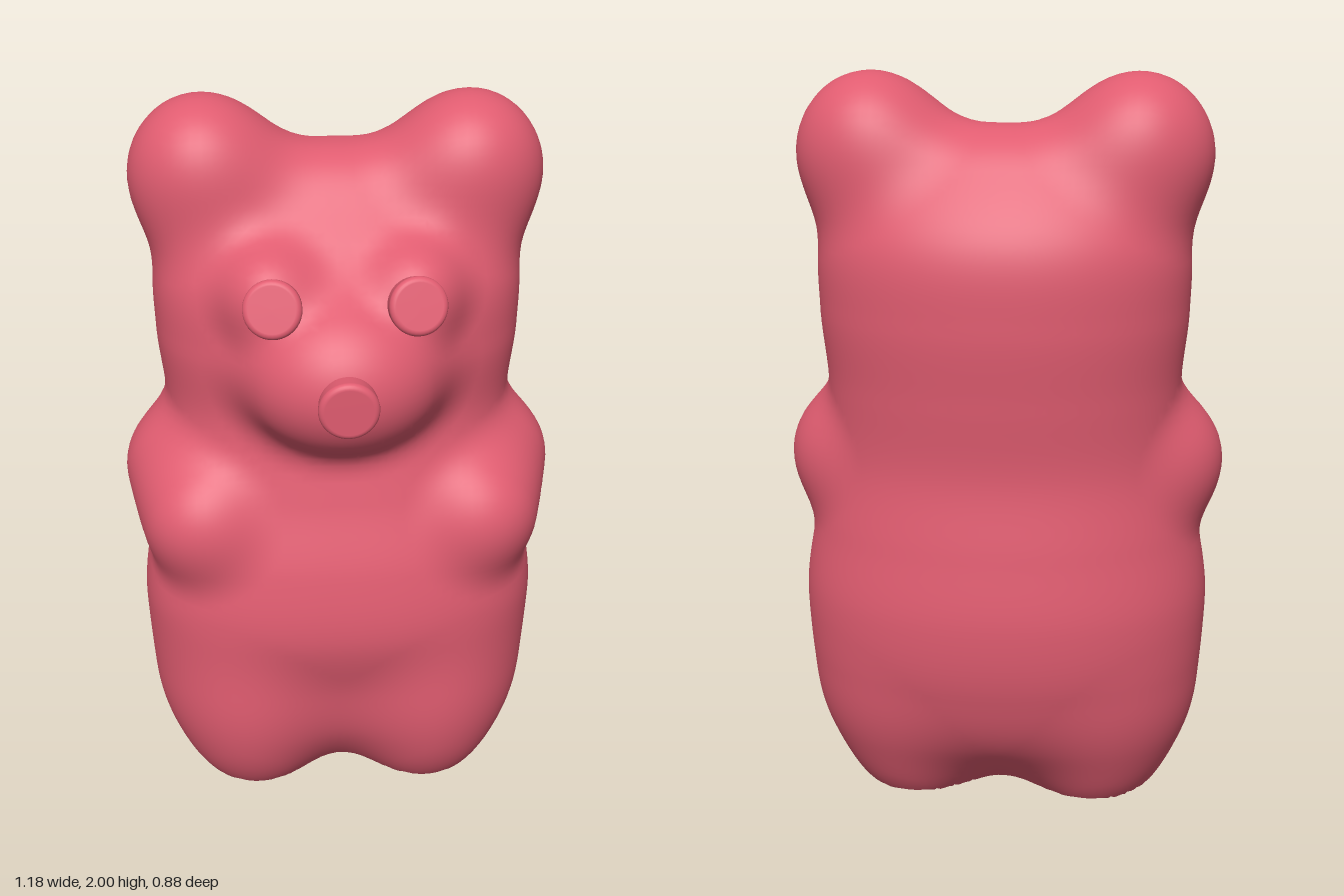
import * as THREE from 'three';

const candy = new THREE.MeshStandardMaterial({ color: 0xe05c70 });
candy.name = 'candyRed';

// Torso and head profile, one row per 0.2 of height: half width, front z, back z
const profile = new THREE.CatmullRomCurve3([
  [0.30, 0.08, -0.12], [0.48, 0.22, -0.33], [0.54, 0.28, -0.415], [0.56, 0.33, -0.44],
  [0.53, 0.31, -0.42], [0.49, 0.25, -0.395], [0.47, 0.21, -0.41], [0.485, 0.22, -0.425],
  [0.475, 0.19, -0.405], [0.38, 0.04, -0.28], [0.10, -0.08, -0.13],
].map((r) => new THREE.Vector3(...r)), false, 'catmullrom', 0.5);

const row = new THREE.Vector3();

// Soft union of two distances, k is the width of the blend
function blend(a, b, k) {
  const h = Math.max(k - Math.abs(a - b), 0) / k;
  return Math.min(a, b) - h * h * k / 4;
}
const softCut = (a, b, k) => -blend(-a, -b, k);

function ellipsoid(x, y, z, rx, ry, rz) {
  const k0 = Math.hypot(x / rx, y / ry, z / rz);
  const k1 = Math.hypot(x / rx ** 2, y / ry ** 2, z / rz ** 2);
  return k1 < 1e-6 ? -Math.min(rx, ry, rz) : k0 * (k0 - 1) / k1;
}

// Distance to a rounded limb from a to b
function limb(x, y, z, a, b, r) {
  const d = b.map((v, i) => v - a[i]);
  const p = [x - a[0], y - a[1], z - a[2]];
  const dot = (u, v) => u[0] * v[0] + u[1] * v[1] + u[2] * v[2];
  const t = THREE.MathUtils.clamp(dot(p, d) / dot(d, d), 0, 1);
  return Math.hypot(p[0] - d[0] * t, p[1] - d[1] * t, p[2] - d[2] * t) - r;
}

function torso(x, y, z) {
  profile.getPoint(THREE.MathUtils.clamp(y / 2, 0, 1), row);
  const mid = (row.y + row.z) / 2, depth = (row.y - row.z) / 2;
  const n = z > mid ? 2.5 : 2.1;
  const q = (Math.abs(x) / row.x) ** n + (Math.abs(z - mid) / depth) ** n;
  const side = (q ** (1 / n) - 1) * Math.min(row.x, depth);
  return softCut(softCut(side, y - 1.872, 0.1), 0.02 - y, 0.06);
}

// The whole soft body; mirrored parts use the distance from the centre plane
function bear(x, y, z) {
  const ax = Math.abs(x), sx = Math.sqrt(x * x + 0.003);
  let d = torso(x, y, z);
  d = blend(d, ellipsoid(sx - 0.255, y - 0.31, z + 0.01, 0.265, 0.42, 0.305), 0.09); // legs
  d = blend(d, limb(ax, y, z, [0.42, 0.98, -0.05], [0.37, 0.91, 0.12], 0.168), 0.09); // arms
  d = blend(d, ellipsoid(x, y - 1.37, z - 0.15, 0.27, 0.225, 0.26), 0.09); // muzzle
  d = blend(d, ellipsoid(ax - 0.18, y - 1.57, z - 0.15, 0.11, 0.11, 0.11), 0.08); // brows
  return blend(d, ellipsoid(ax - 0.34, y - 1.82, z + 0.1, 0.18, 0.18, 0.18), 0.14); // ears
}

function gradient(p) {
  const e = 0.002, [x, y, z] = p;
  return [
    (bear(x + e, y, z) - bear(x - e, y, z)) / (2 * e),
    (bear(x, y + e, z) - bear(x, y - e, z)) / (2 * e),
    (bear(x, y, z + e) - bear(x, y, z - e)) / (2 * e),
  ];
}

// Skin the body on a grid: one vertex per crossed cell, one quad per crossed edge
function skin(step) {
  const min = [-0.7, -0.2, -0.55];
  const size = [1.4, 2.3, 1.1].map((s) => Math.round(s / step) + 1);
  const stride = [1, size[0], size[0] * size[1]];
  const field = new Float32Array(size[0] * size[1] * size[2]);
  const eachCell = (fn) => {
    for (let k = 0; k < size[2]; k++)
      for (let j = 0; j < size[1]; j++)
        for (let i = 0; i < size[0]; i++)
          fn([i, j, k], i + j * stride[1] + k * stride[2]);
  };
  eachCell((c, id) => { field[id] = bear(...c.map((v, a) => min[a] + v * step)); });

  const positions = [], normals = [], indices = [], vertexOf = new Map();
  eachCell((c, id) => {
    if (c.some((v, a) => v >= size[a] - 1)) return;
    const sum = [0, 0, 0];
    let count = 0;
    for (let a = 0; a < 3; a++) {
      const b = (a + 1) % 3, e = (a + 2) % 3;
      for (let m = 0; m < 4; m++) {
        const u = m & 1, v = m >> 1;
        const start = id + u * stride[b] + v * stride[e];
        const f0 = field[start], f1 = field[start + stride[a]];
        if ((f0 < 0) === (f1 < 0)) continue;
        sum[a] += f0 / (f0 - f1);
        sum[b] += u;
        sum[e] += v;
        count++;
      }
    }
    if (!count) return;
    let p = c.map((v, a) => min[a] + (v + sum[a] / count) * step);
    for (let n = 0; n < 3; n++) {
      const g = gradient(p);
      const s = bear(...p) / Math.max(g[0] ** 2 + g[1] ** 2 + g[2] ** 2, 0.1);
      p = p.map((v, a) => v - THREE.MathUtils.clamp(g[a] * s, -step / 2, step / 2));
    }
    let normal = new THREE.Vector3(...gradient(p)).normalize().toArray();
    // Flat soles
    if (p[1] <= 0) {
      p[1] = 0;
      normal = [0, -1, 0];
    }
    vertexOf.set(id, positions.length / 3);
    positions.push(...p);
    normals.push(...normal);
  });

  eachCell((c, id) => {
    for (let a = 0; a < 3; a++) {
      const b = (a + 1) % 3, e = (a + 2) % 3;
      if (c[a] >= size[a] - 1 || c[b] < 1 || c[e] < 1) continue;
      const inside = field[id] < 0;
      if (inside === (field[id + stride[a]] < 0)) continue;
      const q = [id, id - stride[b], id - stride[b] - stride[e], id - stride[e]].map((v) => vertexOf.get(v));
      if (!inside) q.reverse();
      indices.push(q[0], q[1], q[2], q[0], q[2], q[3]);
    }
  });

  const geometry = new THREE.BufferGeometry();
  geometry.setAttribute('position', new THREE.Float32BufferAttribute(positions, 3));
  geometry.setAttribute('normal', new THREE.Float32BufferAttribute(normals, 3));
  geometry.setIndex(indices);
  return geometry;
}

// Round button with a softened rim, facing +z
function button(name, radius, depth) {
  const r = 0.015;
  const points = [new THREE.Vector2(radius - 0.005, -depth)];
  for (let i = 0; i <= 6; i++) {
    const t = i / 6 * Math.PI / 2;
    points.push(new THREE.Vector2(radius - r + r * Math.cos(t), -r + r * Math.sin(t)));
  }
  points.push(new THREE.Vector2(0, 0));
  const mesh = new THREE.Mesh(new THREE.LatheGeometry(points, 40).rotateX(Math.PI / 2), candy);
  mesh.name = name;
  return mesh;
}

export function createModel() {
  const model = new THREE.Group();
  model.name = 'gummyBear';

  const body = new THREE.Mesh(skin(0.025), candy);
  body.name = 'body';
  model.add(body);

  const nose = button('nose', 0.075, 0.08);
  nose.position.set(0, 1.38, 0.443);
  model.add(nose);

  for (const side of [1, -1]) {
    const eye = button(side > 0 ? 'leftEye' : 'rightEye', 0.073, 0.08);
    eye.position.set(side * 0.178, 1.59, 0.302);
    eye.rotation.set(-0.33, side * 0.1, 0);
    model.add(eye);
  }
  return model;
}
